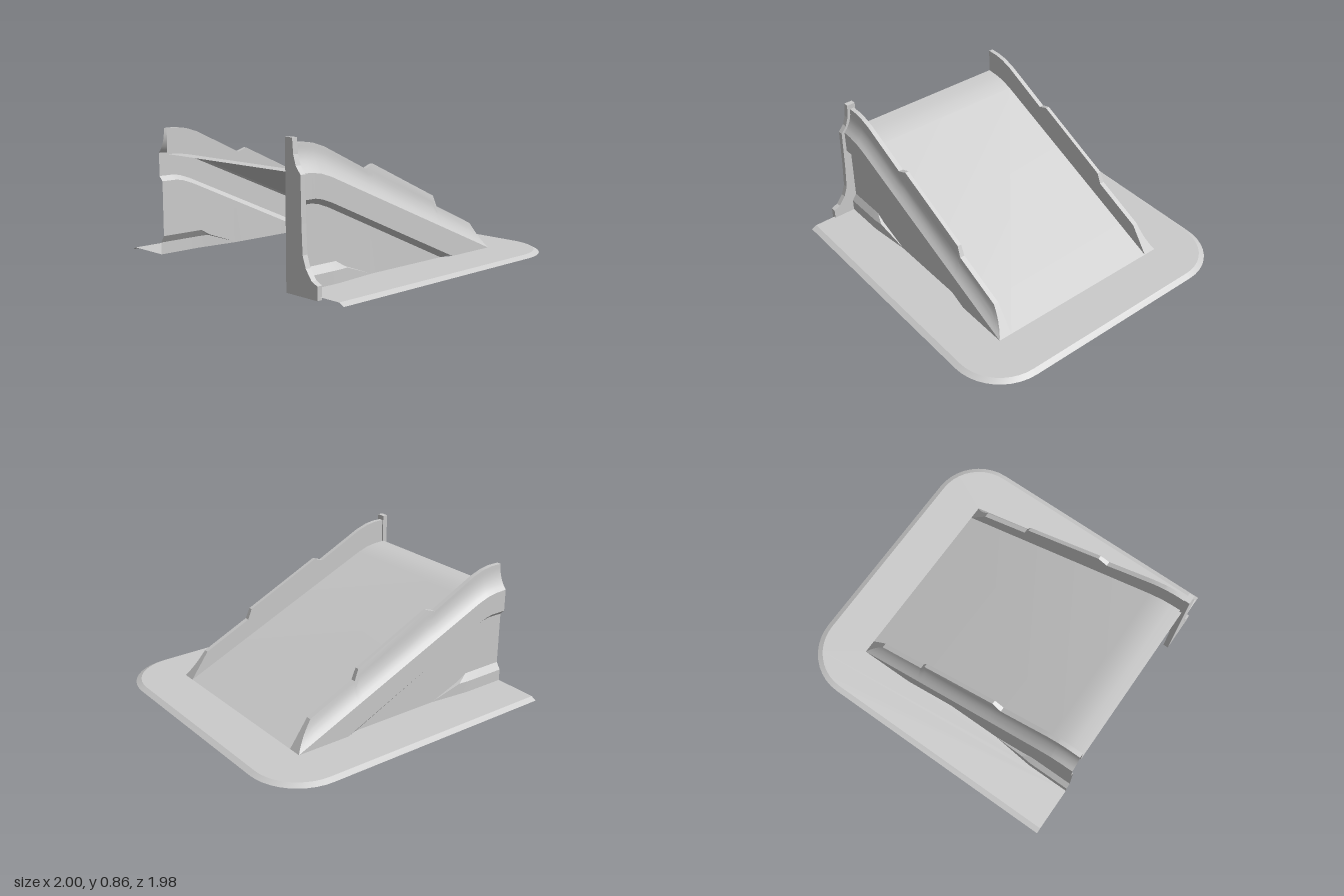
import * as THREE from 'three';
import { toCreasedNormals } from 'three/addons/utils/BufferGeometryUtils.js';

const FLOOR = 0.018, REAR = -0.98, NOSE = 0.665;
const material = new THREE.MeshStandardMaterial({ color: 0xcccccc, side: THREE.DoubleSide });

// Piecewise-linear lookup through [x, value] pairs
function lookup(points, x) {
  if (x <= points[0][0]) return points[0][1];
  for (let i = 1; i < points.length; i++) {
    const [x0, v0] = points[i - 1], [x1, v1] = points[i];
    if (x <= x1) return v0 + (v1 - v0) * (x - x0) / (x1 - x0);
  }
  return points[points.length - 1][1];
}

// Surface through rows of equally many [x, y, z] points
function loft(name, rows, flip = false) {
  const cols = rows[0].length, index = [];
  for (let i = 0; i < rows.length - 1; i++) {
    for (let j = 0; j < cols - 1; j++) {
      const a = i * cols + j, b = a + 1, c = a + cols, d = c + 1;
      if (flip) index.push(a, c, b, b, c, d);
      else index.push(a, b, c, b, d, c);
    }
  }
  const geometry = new THREE.BufferGeometry();
  geometry.setAttribute('position', new THREE.Float32BufferAttribute(rows.flat(2), 3));
  geometry.setIndex(index);
  return addMesh(name, toCreasedNormals(geometry, 0.5));
}

function addMesh(name, geometry) {
  const mesh = new THREE.Mesh(geometry, material);
  mesh.name = name;
  return mesh;
}

// Heights along the ramp: deck line, rail top, overhang ledge and foot step
const deck = [[REAR, 0.667], [-0.9, 0.664], [-0.83, 0.654], [-0.75, 0.628], [NOSE, FLOOR]];
const railTop = [[REAR, 0.827], [-0.9, 0.828], [-0.83, 0.818], [-0.75, 0.792], [-0.42, 0.635],
  [-0.355, 0.658], [0.18, 0.41], [0.21, 0.34], [0.54, 0.19], [NOSE, FLOOR]];
const ledgeTop = [[REAR, 0.52], [-0.87, 0.52], [-0.82, 0.51], [-0.75, 0.485], [0.3, FLOOR]];
const ledgeBottom = [[REAR, 0.49], [-0.87, 0.49], [-0.82, 0.48], [-0.75, 0.455], [0.22, FLOOR]];
const stepTop = [[REAR, 0.14], [-0.69, 0.14], [-0.62, 0.1], [-0.4, FLOOR]];
const stepDepth = [[REAR, 0.66], [-0.69, 0.66], [-0.4, 0.63]];
// Width of the coved rail against height above the deck
const cove = [[0, 0.66], [0.02, 0.642], [0.045, 0.626], [0.075, 0.612], [0.115, 0.602], [0.16, 0.6], [0.19, 0.595]];

const stations = [...new Set([deck, railTop, ledgeTop, ledgeBottom, stepTop].flat().map(p => p[0])
  .concat([-0.2, 0, 0.4, 0.57, 0.6, 0.63, 0.65]))].sort((a, b) => a - b);

// One side wall: coved rail above the deck and a recessed skirt below it
function sideWall(side, label) {
  const group = new THREE.Group();
  group.name = label + 'SideWall';
  const railRows = stations.map(x => {
    const y = lookup(deck, x), top = lookup(railTop, x), row = [];
    for (let j = 0; j <= 8; j++) {
      const d = (top - y) * j / 8;
      row.push([x, y + d, side * lookup(cove, d)]);
    }
    row.push([x, top, side * 0.57], [x, y, side * 0.57]);
    return row;
  });
  const skirtRows = stations.map(x => {
    const step = lookup(stepTop, x);
    return [
      [FLOOR, lookup(stepDepth, x)], [Math.min(0.095, step), lookup(stepDepth, x)], [step, 0.63],
      [lookup(ledgeBottom, x), 0.63], [lookup(ledgeTop, x), 0.66], [lookup(deck, x), 0.66]
    ].map(([y, z]) => [x, y, side * z]);
  });
  // the rows run upward, so the +z side needs the reversed winding
  group.add(loft(label + 'Rail', railRows, side > 0), loft(label + 'Skirt', skirtRows, side > 0));
  return group;
}

// Outline of the apron, inset by a margin, from rear +z round to rear -z
function apronOutline(inset) {
  const half = 0.99 - inset, r = 0.34 - inset, points = [[REAR, half]];
  for (let i = 0; i <= 10; i++) {
    const a = Math.PI / 2 * (1 - i / 10);
    points.push([0.66 + r * Math.cos(a), 0.65 + r * Math.sin(a)]);
  }
  return points.concat(points.map(([x, z]) => [x, -z]).reverse());
}

function apron() {
  const group = new THREE.Group();
  group.name = 'apron';
  // flat top, open between the walls
  const inner = [[REAR, 0.66], [-0.69, 0.66], [-0.4, 0.63], [0.22, 0.63], [0.3, 0.66], [NOSE, 0.66]];
  const hole = inner.map(([x, z]) => [x, -z]).concat([...inner].reverse());
  const shape = new THREE.Shape(apronOutline(0.035).concat(hole).map(([x, z]) => new THREE.Vector2(x, -z)));
  const plate = new THREE.ShapeGeometry(shape).rotateX(-Math.PI / 2).translate(0, FLOOR, 0);
  group.add(addMesh('apronTop', plate));
  // sloping rim down to the ground
  const at = (inset, y) => apronOutline(inset).map(([x, z]) => [x, y, z]);
  group.add(loft('apronRim', [at(0.035, FLOOR), at(0, 0)], true));
  return group;
}

// Flared post closing the rear of the left wall
function endPost() {
  const profile = [[0.56, 0], [0.81, 0], [0.81, 0.08], [0.765, 0.1], [0.72, 0.16], [0.695, 0.23], [0.687, 0.4],
    [0.682, 0.665], [0.645, 0.71], [0.625, 0.77], [0.617, 0.86], [0.56, 0.86]];
  const shape = new THREE.Shape(profile.map(([z, y]) => new THREE.Vector2(z, y)));
  const geometry = new THREE.ExtrudeGeometry(shape, { depth: 0.035, bevelEnabled: false });
  geometry.rotateY(-Math.PI / 2).translate(-0.965, 0, 0);
  return addMesh('endPost', geometry);
}

export function createModel() {
  const model = new THREE.Group();
  model.name = 'ramp';
  const deckRows = deck.map(([x, y]) => [[x, y, 0.57], [x, y, -0.57]]);
  // strip joining the deck foot to the apron beneath the rail ends
  deckRows[deckRows.length - 1] = [[NOSE, FLOOR, 0.57], [NOSE, FLOOR, -0.57]];
  model.add(loft('rampDeck', deckRows, true));
  model.add(sideWall(1, 'front'), sideWall(-1, 'back'), apron(), endPost());
  return model;
}
